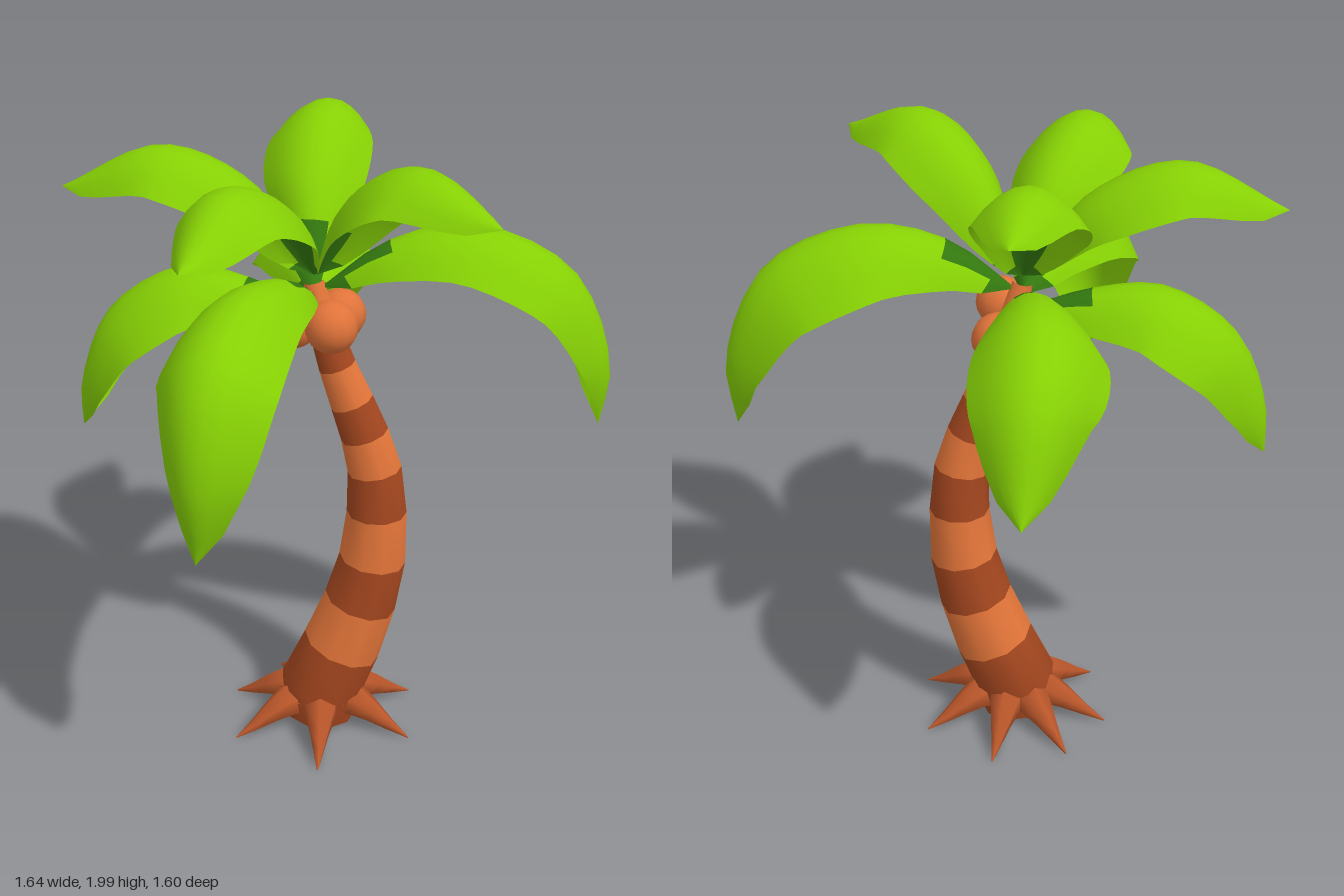
import * as THREE from 'three';

const V = (p) => new THREE.Vector3(...p);
const mat = (name, color, side = THREE.FrontSide) => {
  const m = new THREE.MeshStandardMaterial({ color, side });
  m.name = name;
  return m;
};

// Surface from rows of points; matOf(i, j) picks material 0 or 1 for each quad.
function surface(rows, matOf = () => 0) {
  const n = rows[0].length, faces = [[], []], geo = new THREE.BufferGeometry();
  geo.setFromPoints(rows.flat());
  for (let i = 0; i < rows.length - 1; i++) {
    for (let j = 0; j < n - 1; j++) {
      const a = i * n + j, b = a + n;
      faces[matOf(i, j)].push(a, a + 1, b, a + 1, b + 1, b);
    }
  }
  geo.setIndex(faces.flat());
  geo.addGroup(0, faces[0].length, 0);
  geo.addGroup(faces[0].length, faces[1].length, 1);
  geo.computeVertexNormals();
  return geo;
}

// Tapered limb: rings of the given radii set square to a path in the xy plane.
function limb(path, radii, sides, matOf) {
  const pts = path.map(([x, y]) => new THREE.Vector3(x, y, 0));
  const rows = pts.map((p, i) => {
    const t = pts[Math.min(i + 1, pts.length - 1)].clone().sub(pts[Math.max(i - 1, 0)]).normalize();
    const u = new THREE.Vector3(t.y, -t.x, 0);
    return Array.from({ length: sides + 1 }, (_, j) => {
      const a = (j % sides) / sides * Math.PI * 2;
      return p.clone().addScaledVector(u, Math.cos(a) * radii[i])
        .add(new THREE.Vector3(0, 0, -Math.sin(a) * radii[i]));
    });
  });
  return surface(rows, matOf);
}

// Arched leaf: edges hang `drop` below the midrib; `roll` lowers one edge and lifts the other.
function leaf(points, halfWidth, drop, roll) {
  const curve = new THREE.CatmullRomCurve3(points.map(V));
  const chord = V(points[points.length - 1]).sub(V(points[0])).setY(0).normalize();
  const side = chord.clone().cross(new THREE.Vector3(0, 1, 0));
  const rows = [], steps = 16, cols = 8;
  for (let i = 0; i <= steps; i++) {
    const t = i / steps, p = curve.getPointAt(t);
    const normal = side.clone().cross(curve.getTangentAt(t)).normalize();
    const w = Math.pow(Math.max(Math.sin(Math.PI * Math.pow(t, 1.06)), 0), 0.64);
    rows.push(Array.from({ length: cols + 1 }, (_, j) => {
      const s = j / cols * 2 - 1;
      return p.clone().addScaledVector(side, s * w * halfWidth)
        .addScaledVector(normal, (roll * s - drop * s * s) * w);
    }));
  }
  // Deep green patch at the stem, narrowing along the midrib
  return surface(rows, (i, j) => (i < 1 || (i < 3 && j > 1 && j < 6) ? 1 : 0));
}

export function createModel() {
  const model = new THREE.Group();
  const lightBark = mat('lightBark', 0xe5763a);
  const darkBark = mat('darkBark', 0xa5471f);
  const rootBark = mat('rootBark', 0xb9562a);
  const nutBrown = mat('nutBrown', 0xe0733a);
  const leafGreen = mat('leafGreen', 0x86d004, THREE.DoubleSide);
  const deepGreen = mat('deepGreen', 0x33780f, THREE.DoubleSide);

  const add = (name, geo, material, parent = model) => {
    const mesh = new THREE.Mesh(geo, material);
    mesh.name = name;
    parent.add(mesh);
    return mesh;
  };

  // Leaning trunk with alternating bands
  const trunkPath = [[-0.06, 0.03], [-0.05, 0.14], [0.015, 0.29], [0.075, 0.46], [0.113, 0.62], [0.125, 0.79],
    [0.117, 0.94], [0.085, 1.06], [0.045, 1.17], [0, 1.29], [-0.04, 1.42], [-0.07, 1.56]];
  const trunkRadii = [0.12, 0.138, 0.13, 0.118, 0.107, 0.095, 0.085, 0.076, 0.068, 0.058, 0.048, 0.03];
  add('trunk', limb(trunkPath, trunkRadii, 10, (i) => (i === 0 || i % 2 ? 1 : 0)), [lightBark, darkBark]);

  // Splayed roots
  const roots = new THREE.Group();
  roots.name = 'roots';
  roots.position.x = -0.05;
  model.add(roots);
  const rootGeo = limb([[0.04, 0.09], [0.13, 0.1], [0.19, 0.072], [0.25, 0.042], [0.32, 0.012]],
    [0.06, 0.056, 0.037, 0.02, 0.002], 6);
  for (const deg of [25, 90, 150, 200, 240, 285, 335]) {
    add('root', rootGeo, rootBark, roots).rotation.y = -deg * Math.PI / 180;
  }
  const base = add('rootBase', new THREE.CylinderGeometry(0.13, 0.1, 0.08, 10), rootBark, roots);
  base.position.y = 0.075;

  // Coconuts under the crown
  const nutGeo = new THREE.SphereGeometry(0.08, 14, 10);
  for (const p of [[-0.013, 1.455, 0.1], [0.005, 1.42, -0.095], [-0.135, 1.42, -0.02]]) {
    add('coconut', nutGeo, nutBrown).position.set(...p);
  }

  // Drooping lower fronds: [roll, midrib points]
  const lower = [
    [0.02, [[-0.05, 1.54, 0], [0.15, 1.69, 0], [0.4, 1.74, -0.01], [0.69, 1.61, 0], [0.82, 1.32, 0], [0.8, 1.11, 0]]],
    [-0.03, [[-0.07, 1.52, 0], [-0.16, 1.64, 0.2], [-0.26, 1.67, 0.42], [-0.34, 1.55, 0.69], [-0.36, 1.28, 0.79], [-0.35, 1.02, 0.75]]],
    [0.02, [[-0.07, 1.52, 0], [-0.1, 1.61, -0.2], [-0.1, 1.64, -0.42], [-0.07, 1.5, -0.67], [-0.03, 1.19, -0.8]]],
    [0, [[-0.08, 1.48, 0], [-0.27, 1.55, -0.04], [-0.48, 1.57, -0.08], [-0.7, 1.43, -0.1], [-0.8, 1.2, -0.1], [-0.81, 1.03, -0.1]]],
  ];
  // Raised upper fronds
  const upper = [
    [[-0.07, 1.58, 0], [-0.25, 1.84, -0.04], [-0.52, 1.945, -0.07], [-0.82, 1.81, -0.1]],
    [[-0.06, 1.58, 0], [0.06, 1.87, 0.14], [0.22, 1.995, 0.3], [0.45, 1.89, 0.5]],
    [[-0.07, 1.58, 0], [-0.09, 1.85, -0.17], [-0.06, 1.995, -0.4], [0, 1.92, -0.66]],
    [[-0.07, 1.58, 0], [-0.15, 1.83, 0.15], [-0.27, 1.955, 0.38], [-0.37, 1.82, 0.68]],
  ];
  const greens = [leafGreen, deepGreen];
  for (const [roll, pts] of lower) add('lowerFrond', leaf(pts, 0.195, 0.16, roll), greens);
  for (const pts of upper) add('upperFrond', leaf(pts, 0.165, 0.12, 0), greens);

  return model;
}
